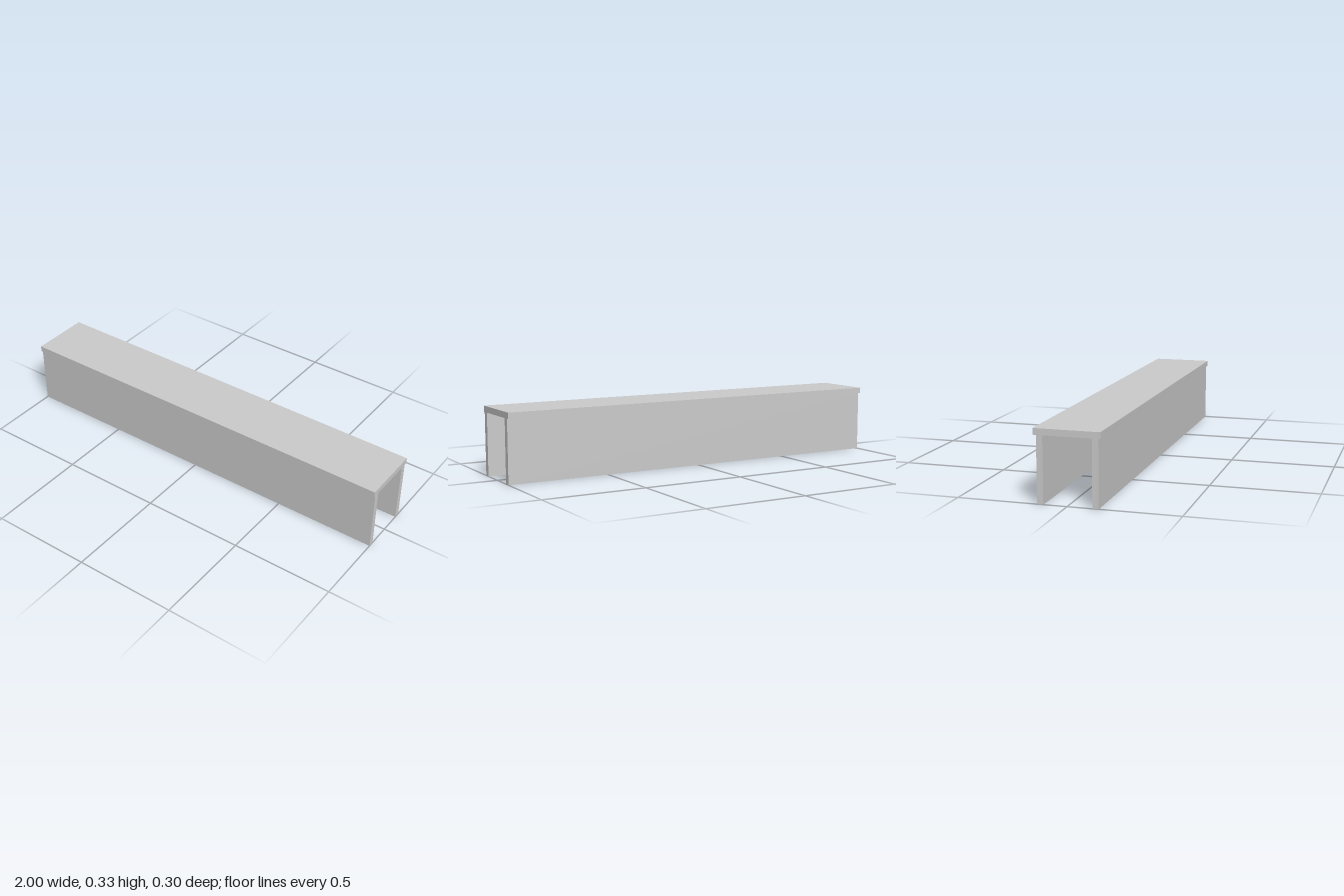
import * as THREE from 'three';

const LENGTH = 2;
const PANEL_HEIGHT = 0.3;
const PANEL_THICKNESS = 0.028;
const TOP_THICKNESS = 0.029;
const TOP_DEPTH = 0.298;

export function createModel() {
  const group = new THREE.Group();
  group.name = 'channelBeam';
  const material = new THREE.MeshStandardMaterial({ color: 0xcccccc });

  const addSlab = (name, height, depth, bottom, z) => {
    const mesh = new THREE.Mesh(new THREE.BoxGeometry(LENGTH, height, depth), material);
    mesh.name = name;
    mesh.position.set(0, bottom + height / 2, z);
    group.add(mesh);
  };

  // Flat top, overhanging both side panels
  addSlab('topBoard', TOP_THICKNESS, TOP_DEPTH, PANEL_HEIGHT, 0);

  // Upright panels, set slightly towards the front
  addSlab('frontPanel', PANEL_HEIGHT, PANEL_THICKNESS, 0, 0.126);
  addSlab('backPanel', PANEL_HEIGHT, PANEL_THICKNESS, 0, -0.12);

  return group;
}
